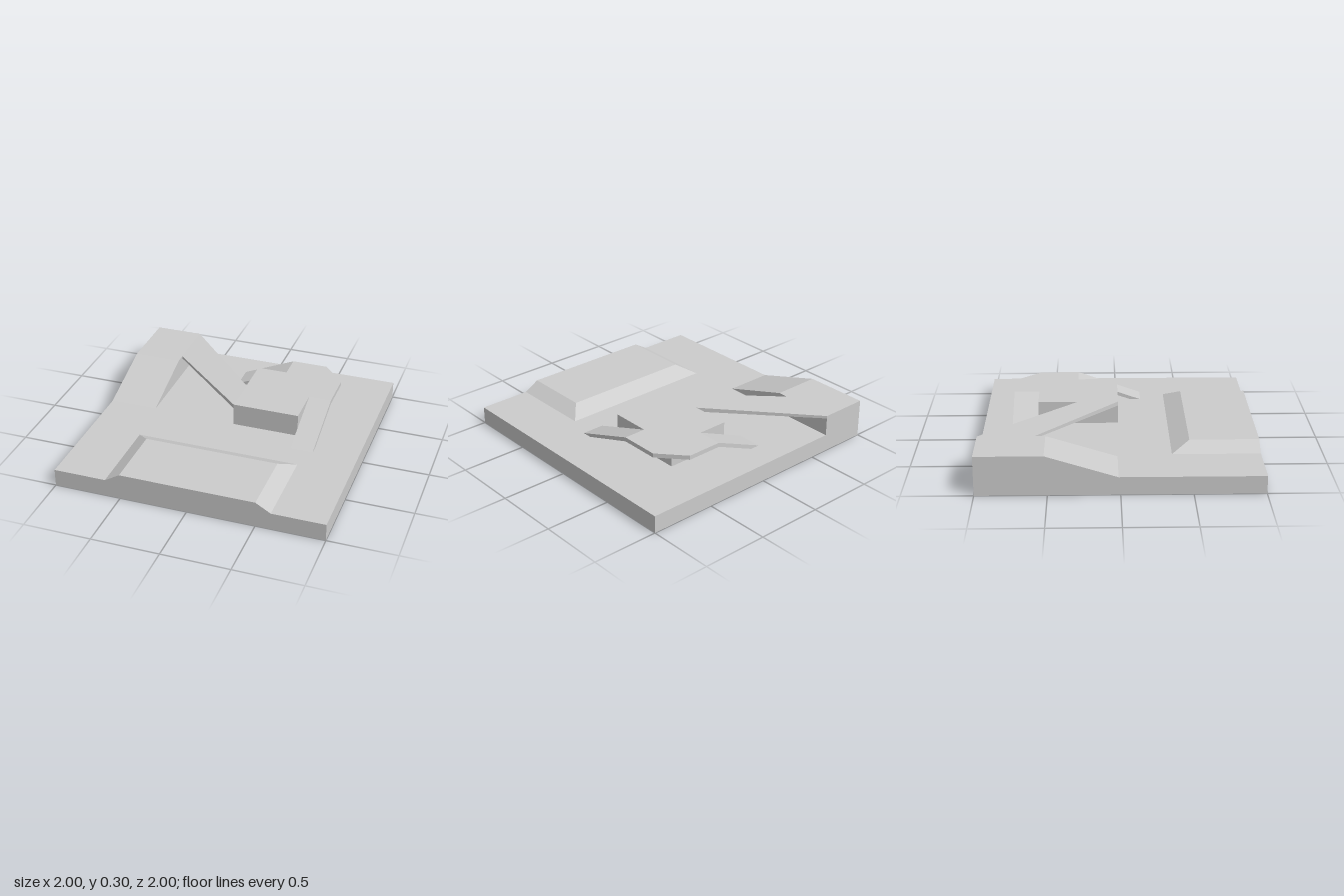
import * as THREE from 'three';
import { ConvexGeometry } from 'three/addons/geometries/ConvexGeometry.js';

const GROUND = 0.13, UNDER = 0.268, TOP = 0.3, LEDGE = 0.288;

export function createModel() {
  const group = new THREE.Group();
  const material = new THREE.MeshStandardMaterial({ color: 0xcccccc, flatShading: true });

  const add = (name, geometry) => {
    const mesh = new THREE.Mesh(geometry, material);
    mesh.name = name;
    group.add(mesh);
    return mesh;
  };
  // Solid spanned by its corner points
  const solid = (name, corners) =>
    add(name, new ConvexGeometry(corners.map((c) => new THREE.Vector3(...c))));
  // Box given by its limits
  const block = (name, x0, x1, y0, y1, z0, z1) =>
    add(name, new THREE.BoxGeometry(x1 - x0, y1 - y0, z1 - z0))
      .position.set((x0 + x1) / 2, (y0 + y1) / 2, (z0 + z1) / 2);

  // Ground slab
  block('groundSlab', -1, 1, 0, GROUND, -1, 1);

  // Low mound along the front, sloping on three sides
  solid('frontMound', [
    [-0.61, GROUND, 0.37], [0.61, GROUND, 0.37], [0.61, GROUND, 1], [-0.61, GROUND, 1],
    [-0.5, 0.195, 0.5], [0.5, 0.195, 0.5], [0.5, 0.195, 1], [-0.5, 0.195, 1],
  ]);

  // Raised back corner with its solid ramp
  solid('cornerLedge', [-1, -0.64].flatMap((x) => [
    [x, GROUND, -1], [x, LEDGE, -1], [x, LEDGE, -0.52], [x, GROUND, -0.015],
  ]));

  // Bridge from the corner ledge to the central deck
  const bridgePlan = [[-0.64, -1, LEDGE], [-0.64, -0.595, LEDGE], [0, 0, TOP], [0, -0.3, TOP]];
  solid('bridge', bridgePlan.flatMap(([x, z, y]) => [[x, UNDER, z], [x, y, z]]));

  // Central block and the deck that overhangs it
  block('centralBlock', 0, 0.5, GROUND, UNDER, -0.595, 0);
  const deckPlan = [
    [0, 0], [0.5, 0], [0.5, -0.3], [0.67, -0.3], [0.67, -0.595],
    [0.5, -0.785], [0.23, -0.785], [0.23, -0.595], [0, -0.595],
  ];
  const shape = new THREE.Shape(deckPlan.map(([x, z]) => new THREE.Vector2(x, -z)));
  const deck = new THREE.ExtrudeGeometry(shape, { depth: TOP - UNDER, bevelEnabled: false });
  add('deck', deck.rotateX(-Math.PI / 2).translate(0, UNDER, 0));

  // Thin ramps from the deck to the ground
  solid('frontRamp', [0.5, 0.67].flatMap((x) => [
    [x, TOP, -0.3], [x, GROUND, 0.185], [x, GROUND, 0.11], [x, UNDER, -0.3],
  ]));
  solid('backRamp', [-0.785, -0.595].flatMap((z) => [
    [0.23, TOP, z], [-0.165, GROUND, z], [-0.09, GROUND, z], [0.23, UNDER, z],
  ]));

  return group;
}
